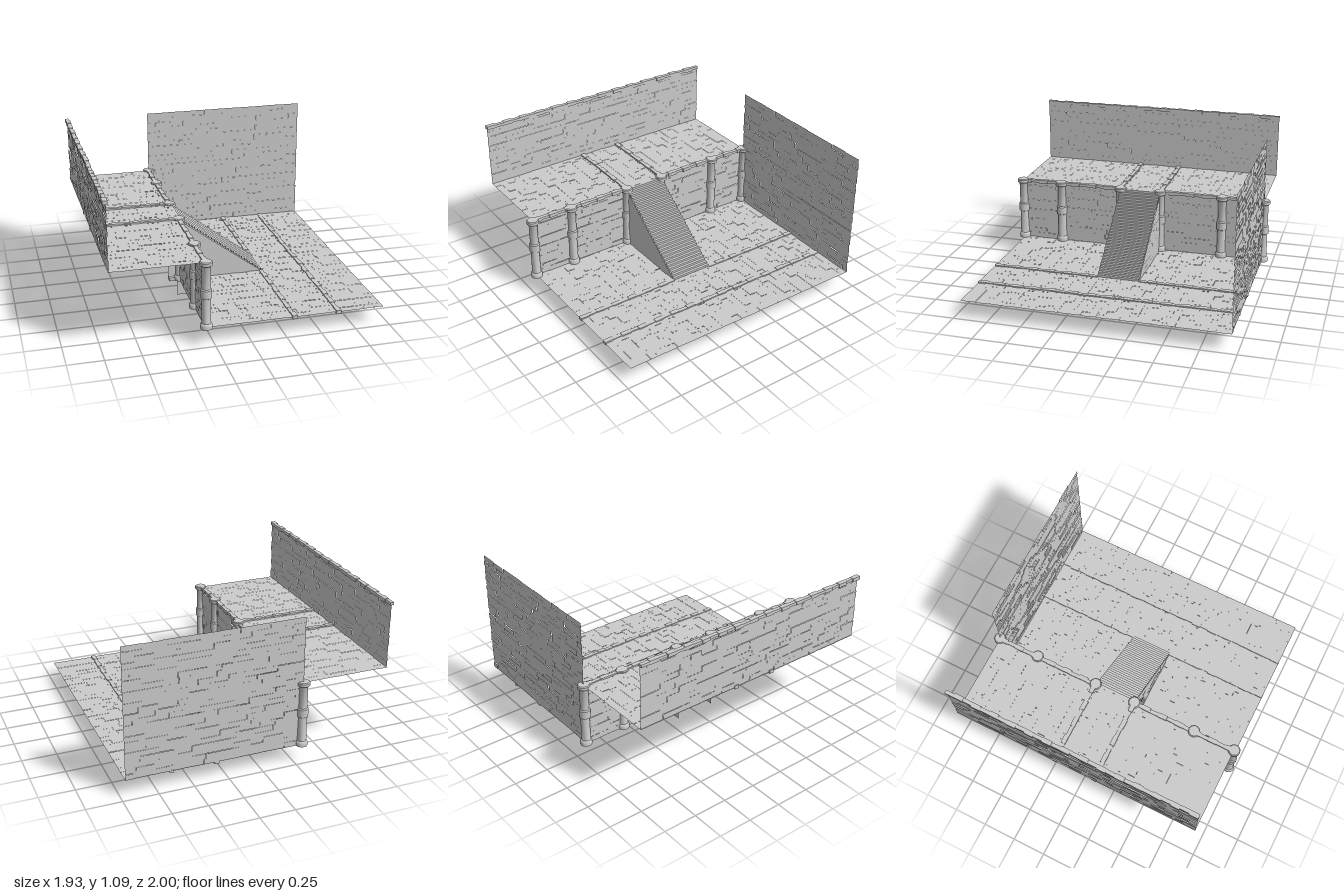
import * as THREE from 'three';
import { mergeGeometries, toCreasedNormals } from 'three/addons/utils/BufferGeometryUtils.js';

const LOW = 0.125, HIGH = 0.6, TOP = 1.08;
const EDGE = -0.31, BACK = 0.955, STAIR_END = 0.32, STAIR_HALF = 0.157;

export function createModel() {
  const root = new THREE.Group();
  const stone = new THREE.MeshStandardMaterial({ color: 0xcccccc });
  const sheet = new THREE.MeshStandardMaterial({ color: 0xcccccc, side: THREE.DoubleSide });
  const X = new THREE.Vector3(1, 0, 0), Y = new THREE.Vector3(0, 1, 0), Z = new THREE.Vector3(0, 0, 1);

  let seed = 7;
  const rand = () => {
    seed = (seed * 16807) % 2147483647;
    return seed / 2147483647;
  };
  const add = (name, geometry, material = stone) => {
    const mesh = new THREE.Mesh(geometry, material);
    mesh.name = name;
    root.add(mesh);
    return mesh;
  };

  // Sheet of staggered stones, spanned by u and v from an origin, each stone slightly off the plane
  function masonry(name, origin, u, v, width, height, length, row, keep = () => true, relief = 0.006) {
    const normal = u.clone().cross(v);
    const parts = [];
    const rows = Math.max(1, Math.round(height / row));
    const rowH = height / rows;
    for (let r = 0; r < rows; r++) {
      let a = 0;
      while (a < width - 1e-4) {
        let len = length * (r % 2 && a === 0 ? 0.5 : 0.75 + 0.5 * rand());
        if (width - a - len < length * 0.4) len = width - a;
        if (keep(a, a + len, r * rowH, (r + 1) * rowH)) {
          const g = new THREE.PlaneGeometry(len, rowH);
          const center = origin.clone()
            .addScaledVector(u, a + len / 2)
            .addScaledVector(v, (r + 0.5) * rowH)
            .addScaledVector(normal, (rand() - 0.5) * relief);
          g.applyMatrix4(new THREE.Matrix4().makeBasis(u, v, normal).setPosition(center));
          parts.push(g);
        }
        a += len;
      }
    }
    return add(name, mergeGeometries(parts), sheet);
  }

  // Row of edging stones, alternately large and small
  function trim(name, from, to) {
    const a = new THREE.Vector3(...from), b = new THREE.Vector3(...to);
    const alongX = Math.abs(b.x - a.x) > Math.abs(b.z - a.z);
    const total = a.distanceTo(b);
    const count = Math.max(1, Math.round(total / 0.068));
    const parts = [];
    for (let i = 0; i < count; i++) {
      const big = i % 2 === 0;
      const g = new THREE.BoxGeometry(big ? 0.034 : 0.027, big ? 0.026 : 0.02, total / count);
      g.rotateY((rand() - 0.5) * 0.06 + (alongX ? Math.PI / 2 : 0));
      const p = a.clone().lerp(b, (i + 0.5) / count);
      const shift = (rand() - 0.5) * 0.006;
      g.translate(p.x + (alongX ? 0 : shift), p.y, p.z + (alongX ? shift : 0));
      parts.push(g);
    }
    add(name, mergeGeometries(parts));
  }

  const at = (x, y, z) => new THREE.Vector3(x, y, z);
  const V = Z.clone().negate();

  // Paved floors; the lower one is open beneath the stairs
  const sideDepth = BACK - STAIR_HALF;
  masonry('upperFloor', at(-0.95, HIGH, BACK), X, V, 0.95 + EDGE, 2 * BACK, 0.08, 0.055, undefined, 0.003);
  masonry('lowerFloorFront', at(EDGE, LOW, BACK), X, V, STAIR_END - EDGE, sideDepth, 0.08, 0.055, undefined, 0.003);
  masonry('lowerFloorBack', at(EDGE, LOW, -STAIR_HALF), X, V, STAIR_END - EDGE, sideDepth, 0.08, 0.055, undefined, 0.003);
  masonry('lowerFloorOuter', at(STAIR_END, LOW, BACK), X, V, 0.965 - STAIR_END, 2 * BACK, 0.08, 0.055, undefined, 0.003);

  // Brick walls
  masonry('backWall', at(EDGE + 0.005, LOW, -BACK), X, Y, 0.96 - EDGE, TOP - LOW, 0.12, 0.04);
  masonry('upperSideWall', at(-0.944, HIGH, BACK), V, Y, 2 * BACK, TOP - HIGH, 0.12, 0.04);
  masonry('retainingWallFront', at(EDGE, LOW, BACK), V, Y, sideDepth, HIGH - LOW, 0.12, 0.04);
  masonry('retainingWallBack', at(EDGE, LOW, -STAIR_HALF), V, Y, sideDepth, HIGH - LOW, 0.12, 0.04);

  // Stair side walls, with a stepped foot below the floor
  const slope = (HIGH - LOW) / (STAIR_END - EDGE);
  const profile = new THREE.Shape([
    [-0.325, 0], [-0.17, 0], [-0.17, 0.042], [-0.01, 0.042], [-0.01, 0.083],
    [0.15, 0.083], [0.15, LOW], [STAIR_END, LOW], [EDGE, HIGH - 0.005], [-0.325, HIGH - 0.005],
  ].map(([x, y]) => new THREE.Vector2(x, y)));
  for (const s of [-1, 1]) {
    const g = new THREE.ShapeGeometry(profile);
    g.translate(0, 0, s * STAIR_HALF);
    add('stairSideWall', g, sheet);
    const under = (a0, a1, b0, b1) => b1 < (STAIR_END - EDGE - a1) * slope;
    masonry('stairSideBricks', at(EDGE, LOW, s * (STAIR_HALF + 0.003)), X, Y,
      STAIR_END - EDGE, HIGH - LOW, 0.1, 0.04, under, 0.004);
  }

  // Stairs: a zigzag of treads and risers
  const steps = 30, run = (STAIR_END - EDGE) / steps, rise = (HIGH - LOW) / steps;
  const stairParts = [];
  for (let i = 0; i < steps; i++) {
    const x = EDGE + i * run, y = HIGH - i * rise;
    const tread = new THREE.PlaneGeometry(run, 2 * STAIR_HALF);
    tread.rotateX(-Math.PI / 2).translate(x + run / 2, y, 0);
    const riser = new THREE.PlaneGeometry(2 * STAIR_HALF, rise);
    riser.rotateY(Math.PI / 2).translate(x + run, y - rise / 2, 0);
    stairParts.push(tread, riser);
  }
  add('stairs', mergeGeometries(stairParts), sheet);

  // Edging stones
  trim('upperWallCap', [-0.948, 1.075, BACK], [-0.948, 1.075, -BACK]);
  for (const s of [-1, 1]) {
    trim('upperEdgeTrim', [EDGE, HIGH - 0.001, s * BACK], [EDGE, HIGH - 0.001, s * STAIR_HALF]);
    trim('upperPathTrim', [-0.95, HIGH - 0.001, s * 0.158], [EDGE, HIGH - 0.001, s * 0.158]);
    trim('stairFootTrim', [STAIR_END, 0.121, s * BACK], [STAIR_END, 0.121, s * STAIR_HALF]);
    trim('stairBaseStone', [-0.385, 0.137, s * 0.158], [-0.315, 0.137, s * 0.158]);
  }
  trim('lowerPathTrim', [0.64, 0.121, BACK], [0.64, 0.121, -BACK]);

  // Columns with base, middle band and capital
  const outline = [
    [0, 0.125], [0.042, 0.125], [0.042, 0.153], [0.036, 0.163], [0.033, 0.165],
    [0.031, 0.345], [0.039, 0.35], [0.039, 0.408], [0.031, 0.415],
    [0.031, 0.57], [0.036, 0.58], [0.044, 0.585], [0.044, 0.606], [0.038, 0.612], [0, 0.612],
  ].map(([r, y]) => new THREE.Vector2(r, y));
  const columnGeometry = toCreasedNormals(new THREE.LatheGeometry(outline, 20), 0.6);
  for (const s of [-1, 1]) {
    for (const z of [0.158, 0.638, 0.956]) {
      add('column', columnGeometry).position.set(-0.305, 0, s * z);
    }
  }
  return root;
}
